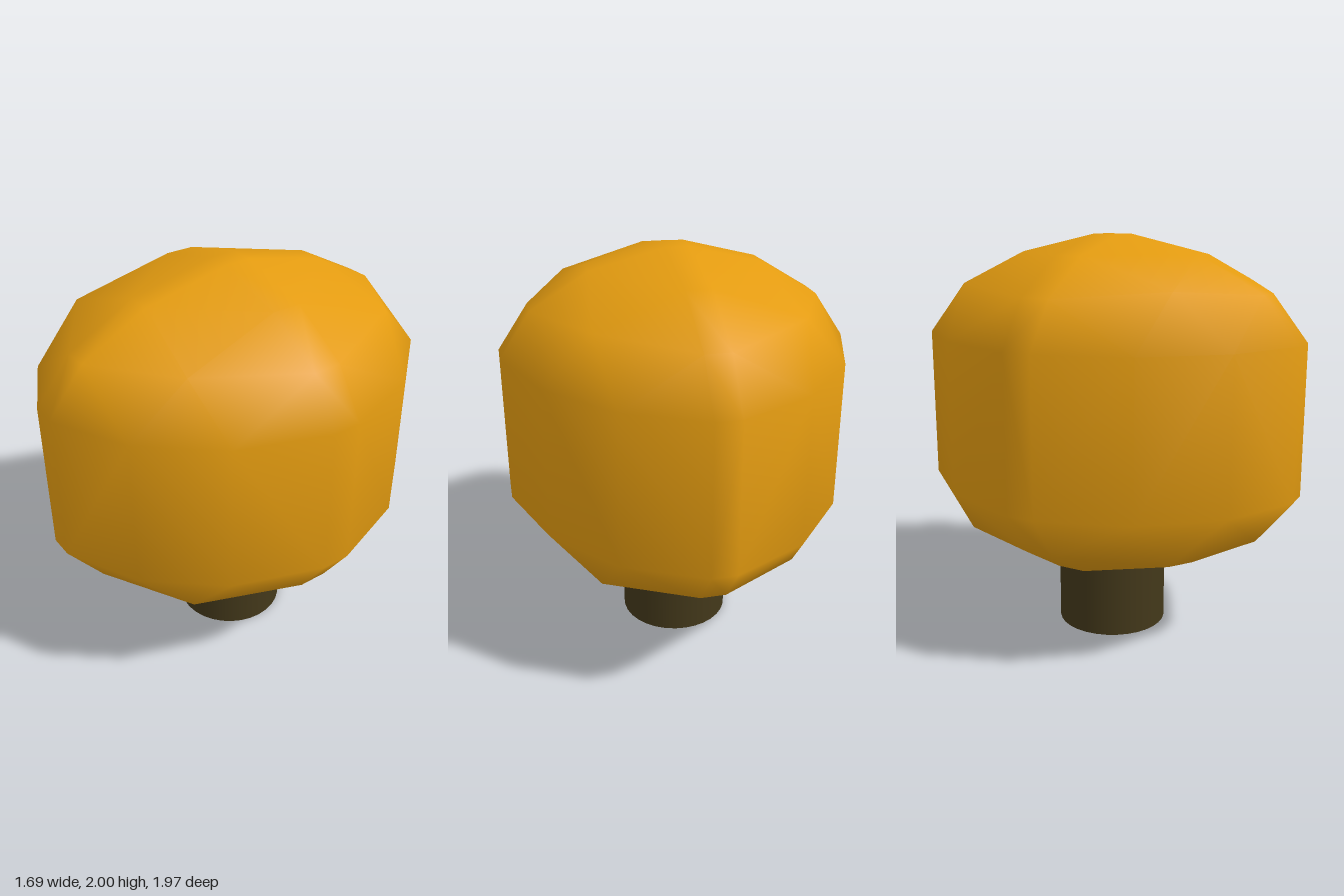
import * as THREE from 'three';
import { ConvexGeometry } from 'three/addons/geometries/ConvexGeometry.js';
import { mergeVertices } from 'three/addons/utils/BufferGeometryUtils.js';

const CENTRE_Y = 1.155;
const CORE = [0.06, 0.365, 0.07];    // half size of the flat areas
const ROUND = [0.783, 0.48, 0.913];  // rounding added beyond the flats

// One rounded corner: 3 tips, 6 edge points and a middle point
function cornerDirections() {
  const a = 0.81, b = 0.455, c = 0.525;
  const dirs = [[c, c, c]];
  for (let i = 0; i < 3; i++) {
    const j = (i + 1) % 3;
    for (const [u, v] of [[1, 0], [a, b], [b, a]]) {
      const d = [0, 0, 0];
      d[i] = u;
      d[j] = v;
      dirs.push(d);
    }
  }
  return dirs;
}

// Low-poly rounded block: the corner mirrored into all eight octants
function createBlockGeometry() {
  const points = [];
  for (const sx of [-1, 1]) for (const sy of [-1, 1]) for (const sz of [-1, 1]) {
    for (const d of cornerDirections()) {
      const [x, y, z] = d.map((v, k) => CORE[k] + ROUND[k] * v);
      points.push(new THREE.Vector3(sx * x, sy * y, sz * z));
    }
  }
  // Share vertices so the facets shade smoothly
  let geometry = new ConvexGeometry(points);
  geometry.deleteAttribute('normal');
  geometry = mergeVertices(geometry, 1e-4);
  geometry.computeVertexNormals();
  return geometry;
}

export function createModel() {
  const group = new THREE.Group();
  group.name = 'roundedBlockOnStem';

  const crown = new THREE.Mesh(
    createBlockGeometry(),
    new THREE.MeshStandardMaterial({ color: 0xe39b10 })
  );
  crown.name = 'crown';
  crown.position.y = CENTRE_Y;
  group.add(crown);

  // Short stem running up into the crown
  const height = 0.45;
  const stem = new THREE.Mesh(
    new THREE.CylinderGeometry(0.277, 0.277, height, 32),
    new THREE.MeshStandardMaterial({ color: 0x43381a })
  );
  stem.name = 'stem';
  stem.position.y = height / 2;
  group.add(stem);

  return group;
}
